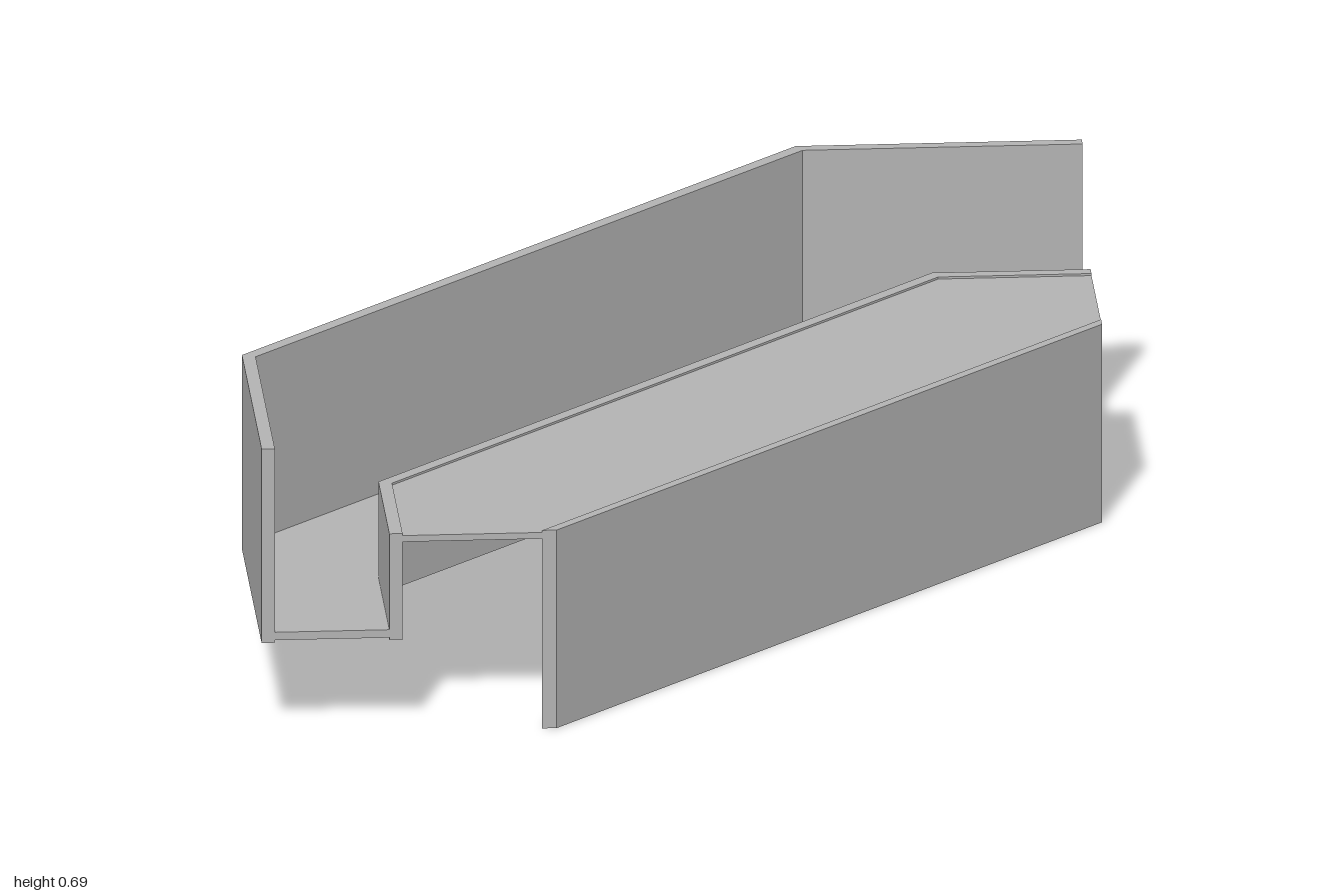
import * as THREE from 'three';

// Plan lines as half paths of [x, z]; the other half swaps x and z.
const fullPath = (half) => [...half, ...half.map(([x, z]) => [z, x]).reverse()];
const wallOuter = fullPath([[-1, 1], [-1, 0.35]]);
const wallInner = fullPath([[-0.97, 1], [-0.97, 0.364]]);
const riserOuter = fullPath([[-0.71, 1], [-0.71, 0.64]]);
const riserInner = fullPath([[-0.68, 1], [-0.68, 0.652]]);
const frontInner = fullPath([[-0.363, 1]]);
const frontOuter = fullPath([[-0.33, 1]]);

export function createModel() {
  const group = new THREE.Group();
  group.name = 'steppedBay';
  const grey = new THREE.MeshStandardMaterial({ color: 0xb4b4b4 });
  grey.name = 'plain grey';

  // Fills the strip between two plan lines from one height to another.
  const strip = (name, a, b, bottom, top) => {
    const outline = [...a, ...[...b].reverse()].map(([x, z]) => new THREE.Vector2(x, -z));
    const geo = new THREE.ExtrudeGeometry(new THREE.Shape(outline), {
      depth: top - bottom, bevelEnabled: false,
    });
    geo.rotateX(-Math.PI / 2).translate(0, bottom, 0);
    const mesh = new THREE.Mesh(geo, grey);
    mesh.name = name;
    group.add(mesh);
  };

  strip('backWall', wallOuter, wallInner, 0.22, 0.685);
  strip('channelFloor', wallInner, riserOuter, 0.226, 0.245);
  strip('riser', riserOuter, riserInner, 0.22, 0.475);
  strip('topShelf', riserInner, frontInner, 0.455, 0.47);
  strip('frontPanel', frontInner, frontOuter, 0, 0.475);

  return group;
}
